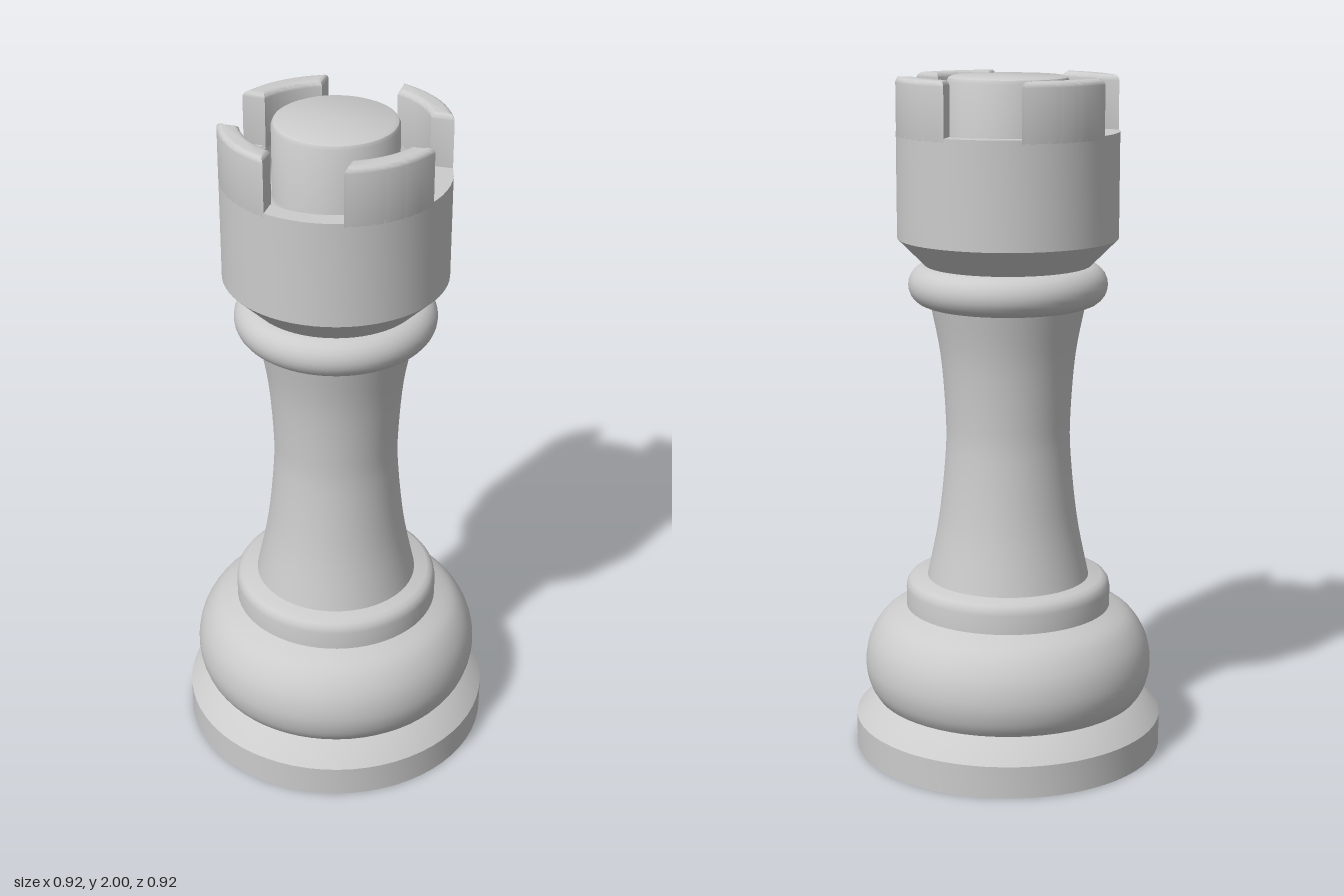
import * as THREE from 'three';
import { toCreasedNormals } from 'three/addons/utils/BufferGeometryUtils.js';

const material = new THREE.MeshStandardMaterial({ color: 0xcccccc });
const SEGMENTS = 64;

function addMesh(parent, name, geometry, crease = 0.6) {
  const mesh = new THREE.Mesh(toCreasedNormals(geometry, crease), material);
  mesh.name = name;
  parent.add(mesh);
  return mesh;
}

// Turned part from [radius, height] pairs, running from the underside outwards and up
function turned(parent, name, profile) {
  const points = profile.map(([r, y]) => new THREE.Vector2(r, y));
  return addMesh(parent, name, new THREE.LatheGeometry(points, SEGMENTS));
}

// Points along a smooth curve through a few [radius, height] pairs
function smooth(pairs, count) {
  const curve = new THREE.SplineCurve(pairs.map(([r, y]) => new THREE.Vector2(r, y)));
  return curve.getPoints(count).map((p) => [p.x, p.y]);
}

export function createModel() {
  const model = new THREE.Group();
  model.name = 'rook';

  // Foot with a shallow dished underside and a central recess
  turned(model, 'foot', [
    [0, 0.09], [0.1, 0.09], [0.11, 0.04], [0.2, 0.035], [0.32, 0.02], [0.46, 0],
    [0.46, 0.095], [0.4, 0.16], [0.38, 0.17],
  ]);

  // Rounded belly
  turned(model, 'belly', smooth([
    [0.39, 0.15], [0.418, 0.195], [0.43, 0.26], [0.415, 0.335], [0.37, 0.4], [0.3, 0.437],
  ], 24));

  // Stepped lip above the belly
  turned(model, 'lip', [
    [0.305, 0.43], [0.305, 0.49], [0.302, 0.505], [0.294, 0.517], [0.28, 0.525], [0, 0.525],
  ]);

  // Waisted column
  turned(model, 'column', smooth([
    [0.242, 0.52], [0.206, 0.7], [0.185, 0.9], [0.184, 1.02], [0.198, 1.2], [0.229, 1.36],
  ], 24));

  // Collar with a half-round edge
  const collar = [[0, 1.345]];
  for (let i = 0; i <= 12; i++) {
    const a = -Math.PI / 2 + (Math.PI * i) / 12;
    collar.push([0.232 + 0.058 * Math.cos(a), 1.404 + 0.059 * Math.sin(a)]);
  }
  collar.push([0, 1.463]);
  turned(model, 'collar', collar);

  // Turret wall, rim, rounded moat and central pillar in one profile
  const moat = [];
  for (let i = 0; i <= 10; i++) {
    const a = (Math.PI * i) / 10;
    moat.push([0.2175 + 0.0425 * Math.cos(a), 1.79 - 0.0425 * Math.sin(a)]);
  }
  turned(model, 'turret', [
    [0.24, 1.46], [0.32, 1.54], [0.32, 1.845], [0.268, 1.845], [0.26, 1.837],
    ...moat, [0.175, 1.985], [0.17, 1.995], [0.16, 2], [0, 2],
  ]);

  // Four battlements between two straight channels
  const half = 0.109, outer = 0.32, inner = 0.26, bevel = 0.016;
  const outline = new THREE.Shape();
  const a0 = Math.asin(half / outer), b0 = Math.asin(half / inner);
  outline.absarc(0, 0, outer, a0, Math.PI / 2 - a0, false);
  outline.absarc(0, 0, inner, Math.PI / 2 - b0, b0, true);
  outline.closePath();
  const bottom = 1.82;
  const battlement = new THREE.ExtrudeGeometry(outline, {
    depth: 2 - bottom - 2 * bevel, curveSegments: 12,
    bevelEnabled: true, bevelThickness: bevel, bevelSize: bevel, bevelOffset: -bevel, bevelSegments: 4,
  });
  battlement.rotateX(-Math.PI / 2).translate(0, bottom + bevel, 0);
  for (let i = 0; i < 4; i++) {
    addMesh(model, `battlement${i + 1}`, battlement).rotation.y = (i * Math.PI) / 2;
  }

  return model;
}
